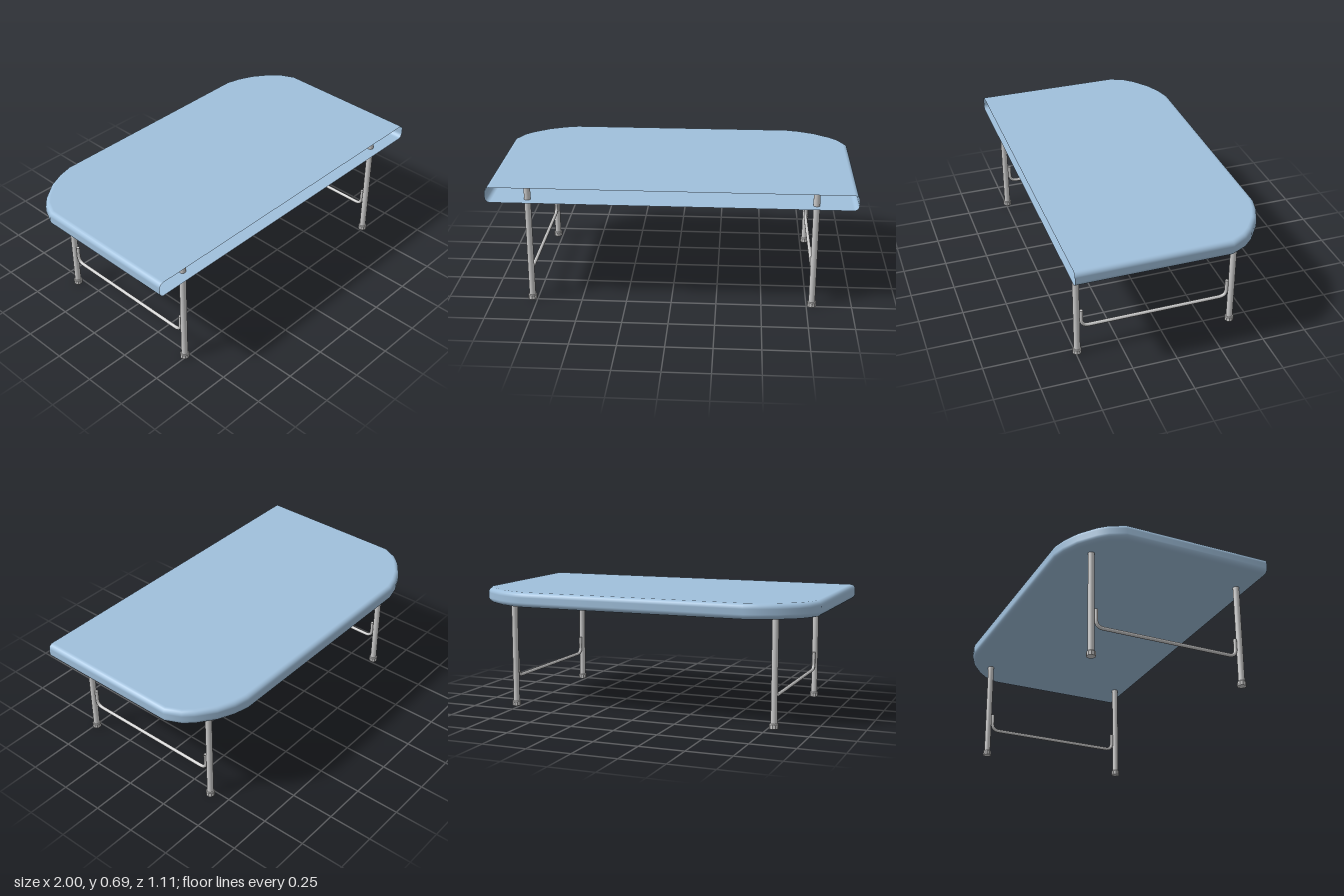
import * as THREE from 'three';

const metal = new THREE.MeshStandardMaterial({ color: 0xcccccc });
const blue = new THREE.MeshStandardMaterial({ color: 0xa0c0dc, side: THREE.DoubleSide });

function addMesh(parent, name, geometry, material, x = 0, y = 0, z = 0) {
  const mesh = new THREE.Mesh(geometry, material);
  mesh.name = name;
  mesh.position.set(x, y, z);
  parent.add(mesh);
  return mesh;
}

// Hollow top with rolled edges, open along the front
function topGeometry() {
  const half = [[1, 0.555], [1, -0.29], [0.96, -0.375], [0.915, -0.425],
    [0.82, -0.495], [0.73, -0.535], [0.65, -0.555]];
  const outline = [...half, ...half.map(([x, z]) => [-x, z]).reverse()]
    .map(([x, z]) => new THREE.Vector2(x, z));
  const n = outline.length, bottom = 0.6, top = 0.685, r = 0.028, steps = 5;

  // Outward normal of each outline point, averaged from its two edges
  const edgeNormal = (j) => {
    const d = outline[j + 1].clone().sub(outline[j]).normalize();
    return new THREE.Vector2(-d.y, d.x);
  };
  const normals = outline.map((_, j) => {
    const v = new THREE.Vector2();
    if (j > 0) v.add(edgeNormal(j - 1));
    if (j < n - 1) v.add(edgeNormal(j));
    return v.normalize();
  });

  // Edge profile: lower quarter round, straight side, upper quarter round
  const profile = [];
  for (let s = 0; s < 2; s++) {
    for (let i = 0; i <= steps; i++) {
      const a = (i / steps + s - 1) * Math.PI / 2;
      profile.push({ inset: r * (1 - Math.cos(a)), a,
        y: (s ? top - r : bottom + r) + r * Math.sin(a) });
    }
  }
  const m = profile.length, pos = [], nor = [], index = [];
  outline.forEach((p, j) => {
    const o = normals[j];
    for (const { inset, a, y } of profile) {
      pos.push(p.x - o.x * inset, y, p.y - o.y * inset);
      nor.push(o.x * Math.cos(a), Math.sin(a), o.y * Math.cos(a));
    }
  });
  const quad = (a, b, c, d) => index.push(a, b, c, a, c, d);
  for (let j = 0; j < n - 1; j++) {
    for (let k = 0; k < m - 1; k++) {
      quad(j * m + k, (j + 1) * m + k, (j + 1) * m + k + 1, j * m + k + 1);
    }
  }
  // Upper and lower sheets, as strips from side to side
  for (let j = 0; j < half.length - 1; j++) {
    const row = [j, j + 1, n - 2 - j, n - 1 - j].map((i) => i * m);
    quad(...row.map((i) => i + m - 1));
    quad(...row.reverse());
  }
  const g = new THREE.BufferGeometry();
  g.setAttribute('position', new THREE.Float32BufferAttribute(pos, 3));
  g.setAttribute('normal', new THREE.Float32BufferAttribute(nor, 3));
  g.setIndex(index);
  return g;
}

// U-shaped brace bar running between a front and a back leg
function bracePath() {
  const p = (y, z) => new THREE.Vector3(0, y, z);
  const zf = 0.463, zb = -0.366, low = 0.172, high = 0.275, bend = 0.042;
  const path = new THREE.CurvePath();
  path.add(new THREE.LineCurve3(p(high, zf), p(low + bend, zf)));
  path.add(new THREE.QuadraticBezierCurve3(p(low + bend, zf), p(low, zf), p(low, zf - bend)));
  path.add(new THREE.LineCurve3(p(low, zf - bend), p(low, zb + bend)));
  path.add(new THREE.QuadraticBezierCurve3(p(low, zb + bend), p(low, zb), p(low + bend, zb)));
  path.add(new THREE.LineCurve3(p(low + bend, zb), p(high, zb)));
  return path;
}

export function createModel() {
  const model = new THREE.Group();
  model.name = 'table';
  addMesh(model, 'tableTop', topGeometry(), blue);

  const legGeometry = new THREE.CylinderGeometry(0.018, 0.018, 0.66, 16);
  const footGeometry = new THREE.LatheGeometry([[0, 0], [0.025, 0], [0.025, 0.024], [0.022, 0.028], [0, 0.028]]
    .map(([x, y]) => new THREE.Vector2(x, y)), 10).toNonIndexed();
  footGeometry.computeVertexNormals();
  const braceGeometry = new THREE.TubeGeometry(bracePath(), 90, 0.01, 10);
  const capGeometry = new THREE.CircleGeometry(0.01, 10).rotateX(-Math.PI / 2);

  for (const side of [1, -1]) {
    const frame = new THREE.Group();
    frame.name = side > 0 ? 'leftLegFrame' : 'rightLegFrame';
    frame.position.x = side * 0.78;
    model.add(frame);
    for (const [name, z] of [['front', 0.49], ['back', -0.394]]) {
      addMesh(frame, name + 'Leg', legGeometry, metal, 0, 0.35, z);
      addMesh(frame, name + 'Foot', footGeometry, metal, 0, 0, z);
    }
    addMesh(frame, 'brace', braceGeometry, metal);
    for (const z of [0.463, -0.366]) addMesh(frame, 'braceEnd', capGeometry, metal, 0, 0.275, z);
  }
  return model;
}
